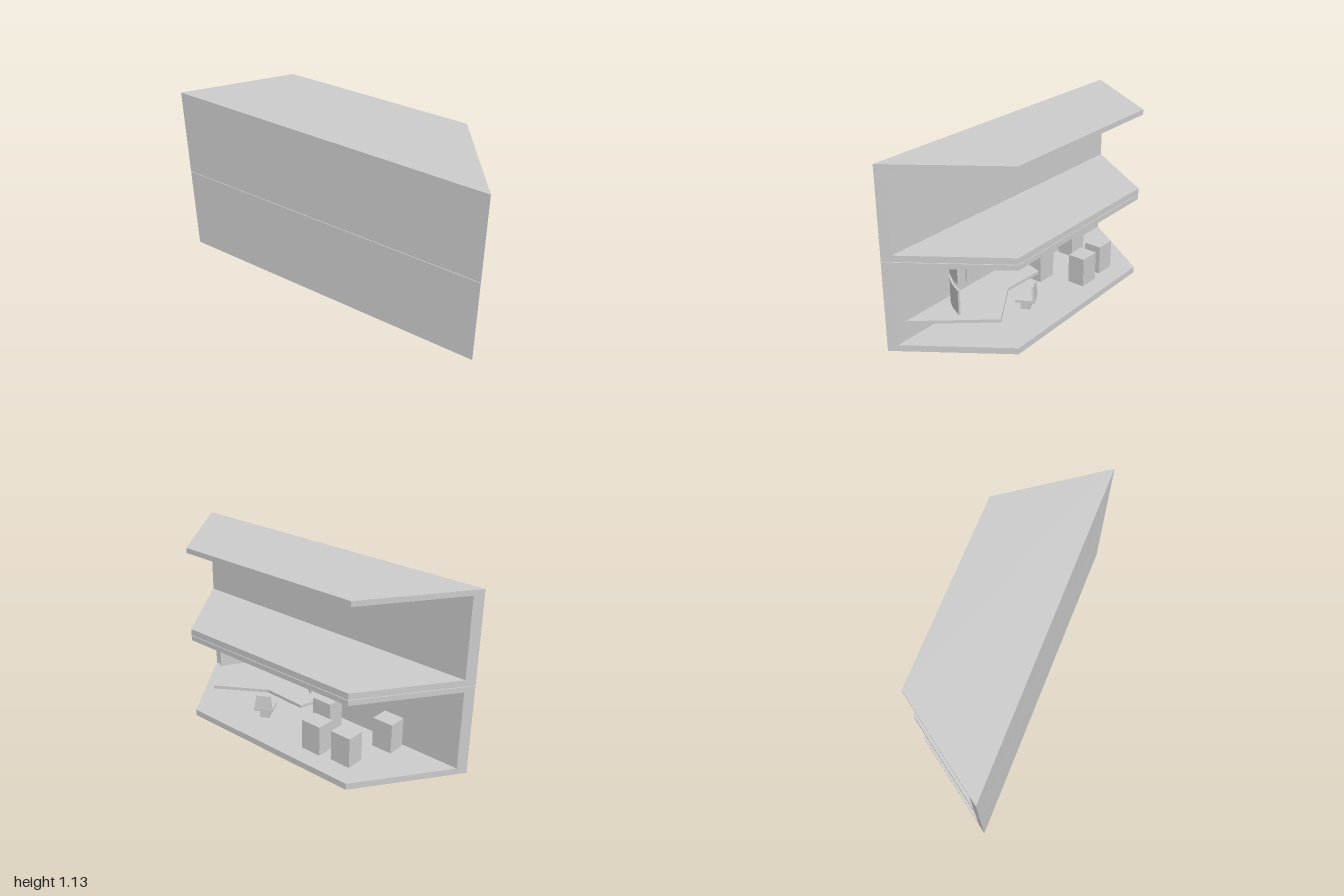
import * as THREE from 'three';

const material = new THREE.MeshStandardMaterial({ color: 0xcccccc, flatShading: true });
const smooth = new THREE.MeshStandardMaterial({ color: 0xcccccc });

// Footprint corners as [x, z]
const BACK = [-0.52, -1.0], BACK_LEFT = [0.165, -0.77], LEFT = [0.517, 0.413], FRONT = [0.06, 1.0];
const WALL_ANGLE = Math.atan2(0.58, 2.0);

// Upright prism from a plan outline of [x, z] points
function prism(name, outline, y, height, mat = material) {
  const shape = new THREE.Shape(outline.map(([x, z]) => new THREE.Vector2(x, -z)));
  const geometry = new THREE.ExtrudeGeometry(shape, { depth: height, bevelEnabled: false });
  geometry.rotateX(-Math.PI / 2);
  const mesh = new THREE.Mesh(geometry, mat);
  mesh.name = name;
  mesh.position.y = y;
  return mesh;
}

// Thin upright panel following a curve in plan
function curvedPanel(name, points, y, height, thickness = 0.012) {
  const curve = new THREE.CatmullRomCurve3(points.map(([x, z]) => new THREE.Vector3(x, 0, z)));
  const sides = [[], []];
  for (let i = 0; i <= 20; i++) {
    const p = curve.getPoint(i / 20), t = curve.getTangent(i / 20);
    sides.forEach((side, k) => {
      const s = (k - 0.5) * thickness;
      side.push([p.x - t.z * s, p.z + t.x * s]);
    });
  }
  return prism(name, [...sides[0], ...sides[1].reverse()], y, height, smooth);
}

function box(name, size, position, angle = 0) {
  const mesh = new THREE.Mesh(new THREE.BoxGeometry(...size), material);
  mesh.name = name;
  mesh.position.set(...position);
  mesh.rotation.y = angle;
  return mesh;
}

// One storey: floor, ceiling and the long back wall
function storey(name, y0, floorTop, ceilingBottom, y1) {
  const group = new THREE.Group();
  group.name = name;
  const plan = [BACK, BACK_LEFT, LEFT, FRONT];
  const wall = [BACK, [-0.46, -0.98], [0.097, 0.952], FRONT];
  group.add(
    prism('floor', plan, y0, floorTop - y0),
    prism('ceiling', plan, ceilingBottom, y1 - ceilingBottom),
    prism('wall', wall, floorTop, ceilingBottom - floorTop)
  );
  return group;
}

// Pedestal chair with a tapered backrest, turned towards the desk
function chair() {
  const group = new THREE.Group();
  group.name = 'chair';
  const back = new THREE.Shape([[-0.06, 0], [0.06, 0], [0.045, 0.1], [-0.045, 0.1]]
    .map(([x, y]) => new THREE.Vector2(x, y)));
  const backrest = new THREE.Mesh(
    new THREE.ExtrudeGeometry(back, { depth: 0.014, bevelEnabled: false }), material);
  backrest.name = 'backrest';
  backrest.position.set(0, 0.105, -0.06);
  backrest.rotation.x = 0.08;
  group.add(
    box('seat', [0.12, 0.016, 0.12], [0, 0.108, 0]),
    box('pedestal', [0.06, 0.06, 0.06], [0, 0.07, 0]),
    backrest
  );
  group.position.set(0.17, 0, 0.115);
  group.rotation.y = -Math.PI / 4;
  return group;
}

export function createModel() {
  const model = new THREE.Group();
  model.name = 'twoStoreyBooth';

  // Two stacked shells with a fine joint between them
  model.add(storey('lowerStorey', 0, 0.04, 0.535, 0.567));
  model.add(storey('upperStorey', 0.571, 0.61, 1.103, 1.135));

  // Desk fixed to the wall
  model.add(prism('desk',
    [[0.078, 0.885], [0.372, 0.435], [0.1, 0.2], [0.03, -0.08], [-0.2, -0.08]], 0.145, 0.02));

  // Curved screens: a split pair at the front, one along the wall
  const screen = [[-0.035, 0.5], [0.04, 0.562], [0.13, 0.602], [0.23, 0.62]];
  model.add(curvedPanel('lowerScreen', screen, 0.19, 0.155));
  model.add(curvedPanel('upperScreen', screen, 0.385, 0.15));
  model.add(curvedPanel('wallScreen',
    [[-0.055, 0.4], [-0.1, 0.22], [-0.112, 0.08], [-0.07, -0.04]], 0.2, 0.262));

  model.add(chair());

  // Plinths standing on the lower floor
  const plinths = [[-0.1, -0.185], [0.1, -0.375], [0.025, -0.57], [-0.27, -0.575]];
  plinths.forEach(([x, z], i) =>
    model.add(box('plinth' + (i + 1), [0.115, 0.19, 0.135], [x, 0.135, z], WALL_ANGLE)));

  return model;
}
